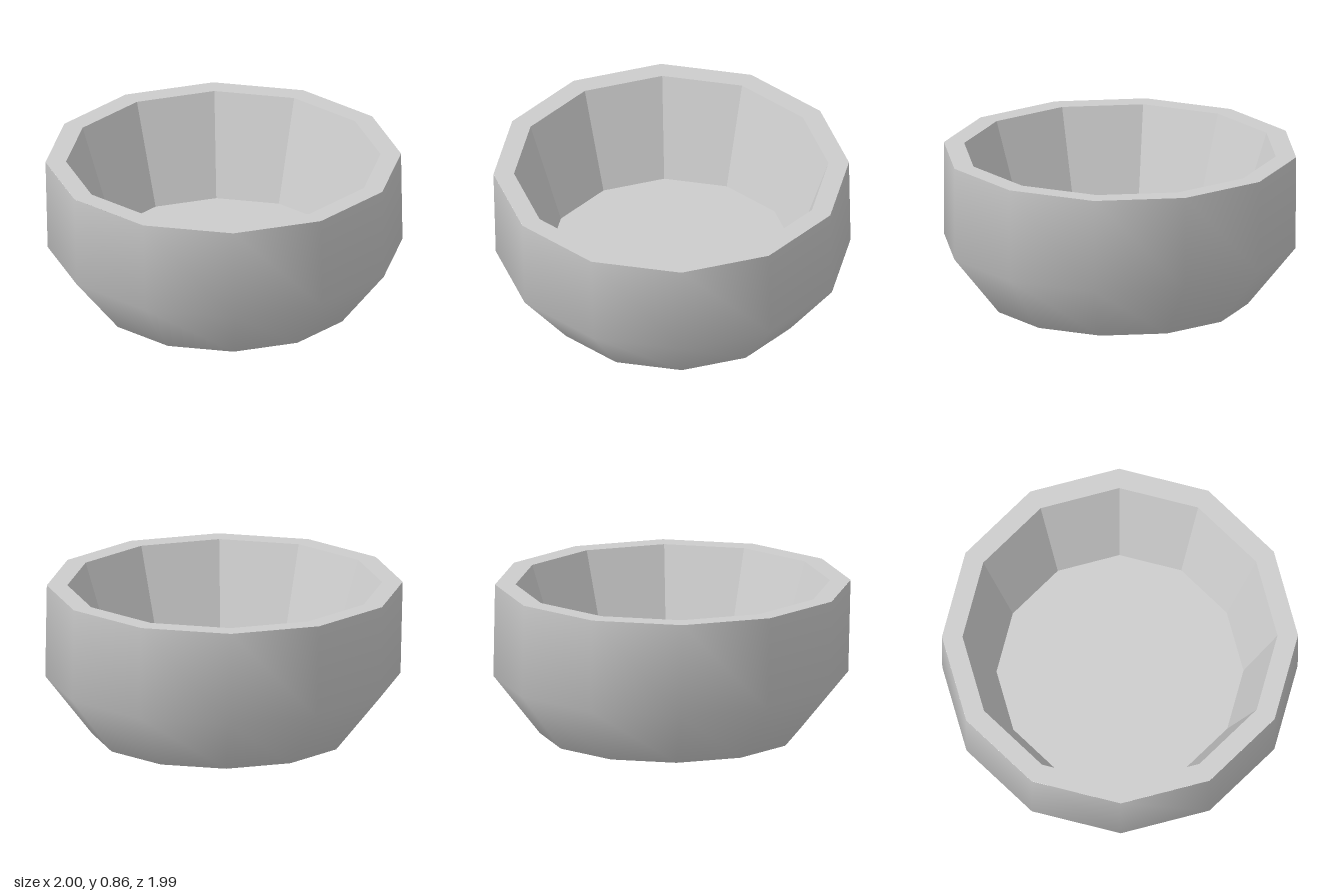
import * as THREE from 'three';

const SIDES = 12;

// Turned surface from [radius, height] pairs; flat gives hard facets
function turned(profile, flat) {
  const points = profile.map(([r, y]) => new THREE.Vector2(r, y));
  const lathe = new THREE.LatheGeometry(points, SIDES);
  if (!flat) return lathe;
  const faceted = lathe.toNonIndexed();
  faceted.computeVertexNormals();
  return faceted;
}

// The wall leans slightly: each level slides in x with its height
function lean(geometry) {
  const p = geometry.attributes.position;
  for (let i = 0; i < p.count; i++) p.setX(i, p.getX(i) + 0.015 - 0.0235 * p.getY(i));
  return geometry;
}

export function createModel() {
  const group = new THREE.Group();
  group.name = 'bowl';
  const stone = new THREE.MeshStandardMaterial({ color: 0xcccccc });
  stone.name = 'light grey';

  const add = (name, geometry, x = 0) => {
    const mesh = new THREE.Mesh(geometry, stone);
    mesh.name = name;
    mesh.position.x = x;
    group.add(mesh);
  };

  // Smooth outside: flared foot below a nearly upright wall
  add('outerWall', lean(turned([[0.725, 0], [0.993, 0.335], [0.995, 0.862]], false)));
  // Flat underside
  add('underside', lean(turned([[0, 0], [0.725, 0]], true)));
  // Flat rim
  add('rim', turned([[0.995, 0.862], [0.88, 0.862]], true), -0.005);
  // Faceted hollow and its floor
  add('innerWall', turned([[0.88, 0.862], [0.69, 0.29]], true), -0.005);
  add('floor', turned([[0.69, 0.29], [0, 0.29]], true), -0.005);

  return group;
}
